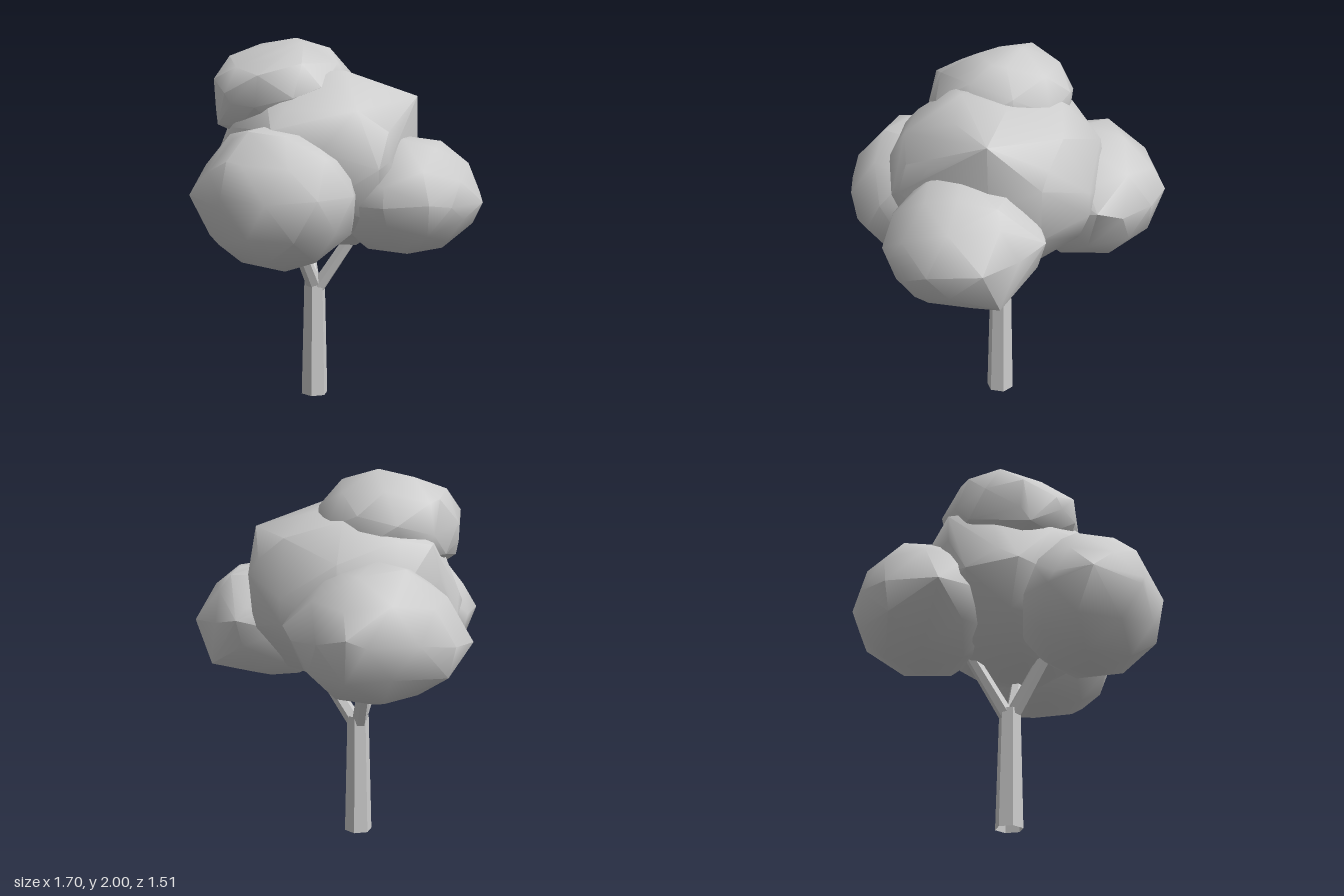
import * as THREE from 'three';
import { toCreasedNormals } from 'three/addons/utils/BufferGeometryUtils.js';
import { ConvexGeometry } from 'three/addons/geometries/ConvexGeometry.js';

const V = (a) => new THREE.Vector3(...a);

// Low-poly leaf clump: a turned icosphere fitted between two corners, with a
// few outstanding corners and flat cuts (plane normal + a point on the plane).
function clump(min, max, turn, corners, cuts = []) {
  const ico = new THREE.IcosahedronGeometry(1, 1);
  ico.rotateX(turn).rotateY(turn * 1.7);
  ico.computeBoundingBox();
  const { min: lo, max: hi } = ico.boundingBox;
  const a = V(min), b = V(max);
  const seen = new Map();
  const pos = ico.attributes.position;
  for (let i = 0; i < pos.count; i++) {
    const p = new THREE.Vector3().fromBufferAttribute(pos, i);
    p.sub(lo).divide(hi.clone().sub(lo)).multiply(b.clone().sub(a)).add(a);
    for (const [n, q] of cuts) {
      const normal = V(n).normalize();
      const over = p.clone().sub(V(q)).dot(normal);
      if (over > 0) p.addScaledVector(normal, -over);
    }
    seen.set(p.toArray().map((v) => v.toFixed(3)).join(), p);
  }
  return toCreasedNormals(new ConvexGeometry([...seen.values(), ...corners.map(V)]), 0.75);
}

// Tapered straight open limb between two points
function limb(from, to, r0, r1) {
  const a = V(from), b = V(to), d = b.clone().sub(a);
  const g = new THREE.CylinderGeometry(r1, r0, d.length(), 6, 1, true);
  g.rotateY(Math.PI / 2);
  g.applyQuaternion(new THREE.Quaternion().setFromUnitVectors(new THREE.Vector3(0, 1, 0), d.normalize()));
  g.translate(...a.add(b).multiplyScalar(0.5).toArray());
  return toCreasedNormals(g, 0.3);
}

export function createModel() {
  const tree = new THREE.Group();
  tree.name = 'tree';
  const grey = new THREE.MeshStandardMaterial({ color: 0xcccccc, side: THREE.DoubleSide });
  grey.name = 'light grey';

  const add = (name, geometry) => {
    const mesh = new THREE.Mesh(geometry, grey);
    mesh.name = name;
    tree.add(mesh);
  };

  // Trunk and three branches
  add('trunk', limb([-0.03, 0, -0.085], [-0.03, 0.66, -0.085], 0.076, 0.06));
  add('frontBranch', limb([-0.025, 0.62, -0.08], [0.035, 1.0, 0.17], 0.042, 0.035));
  add('leftBranch', limb([-0.01, 0.62, -0.09], [0.22, 1.05, -0.25], 0.042, 0.034));
  add('rightBranch', limb([-0.045, 0.62, -0.09], [-0.24, 0.99, -0.21], 0.042, 0.035));

  // Central crown, flattened on its left, upper left and upper back
  add('middleClump', clump([-0.575, 0.88, -0.66], [0.61, 1.84, 0.45], 0.4,
    [[0.42, 1.69, -0.42], [0.57, 1.53, 0], [0.6, 1.38, 0.03], [0.23, 1.83, -0.05],
      [0.17, 1.54, 0.45], [-0.57, 1.25, 0.12], [-0.55, 1.64, -0.05], [0.17, 1.55, -0.6],
      [-0.57, 1.3, -0.17], [-0.43, 1.35, -0.45], [-0.4, 1.3, 0.34], [-0.08, 1.25, -0.66]],
    [[[0.93, 0, -0.36], [0.42, 1.69, -0.42]], [[0, 1, -0.29], [0, 1.84, -0.05]],
      [[0.67, 0.74, 0], [0.42, 1.69, 0]]]));

  // Outer clumps
  add('frontClump', clump([-0.31, 0.8, -0.05], [0.55, 1.555, 0.755], 0.9,
    [[0.53, 1.2, 0.48], [-0.2, 1.2, 0.68], [0.12, 1.555, 0.47], [-0.1, 1.51, 0.48],
      [0.3, 1.52, 0.48], [0.38, 1.2, 0.65], [0.53, 1.2, 0.22], [-0.3, 1.19, 0.5],
      [0.12, 1.54, 0.56], [0.12, 1.4, 0.71], [0.12, 1.22, 0.755]]));
  add('leftClump', clump([0.03, 0.84, -0.68], [0.85, 1.49, 0.12], 1.5,
    [[0.68, 1.17, -0.65], [0.55, 0.94, -0.64], [0.85, 1.15, -0.44], [0.85, 1.15, -0.17],
      [0.27, 1.22, -0.68], [0.62, 1.15, 0.1], [0.6, 1.46, -0.4], [0.55, 1.48, -0.15],
      [0.76, 0.95, -0.25], [0.48, 1.43, -0.55]]));
  add('rightClump', clump([-0.83, 0.84, -0.76], [-0.02, 1.57, 0.1], 2.1,
    [[-0.64, 1.25, -0.72], [-0.85, 1.18, -0.19], [-0.72, 1.15, 0.08], [-0.8, 1.18, -0.45],
      [-0.26, 1.2, -0.74], [-0.12, 1.25, -0.68], [-0.63, 1.55, -0.32], [-0.81, 1.02, -0.2]]));
  // Crown top, sloping down to the front
  add('topClump', clump([-0.53, 1.43, -0.365], [0.23, 2, 0.43], 2.7,
    [[-0.5, 1.86, 0.05], [-0.52, 1.58, 0.08], [-0.33, 1.54, 0.36], [-0.15, 1.66, 0.43],
      [-0.1, 2, 0], [0.05, 1.95, -0.1], [0.23, 1.75, 0.14]],
    [[[0, 1, 0.457], [-0.1, 2, 0]]]));

  return tree;
}
